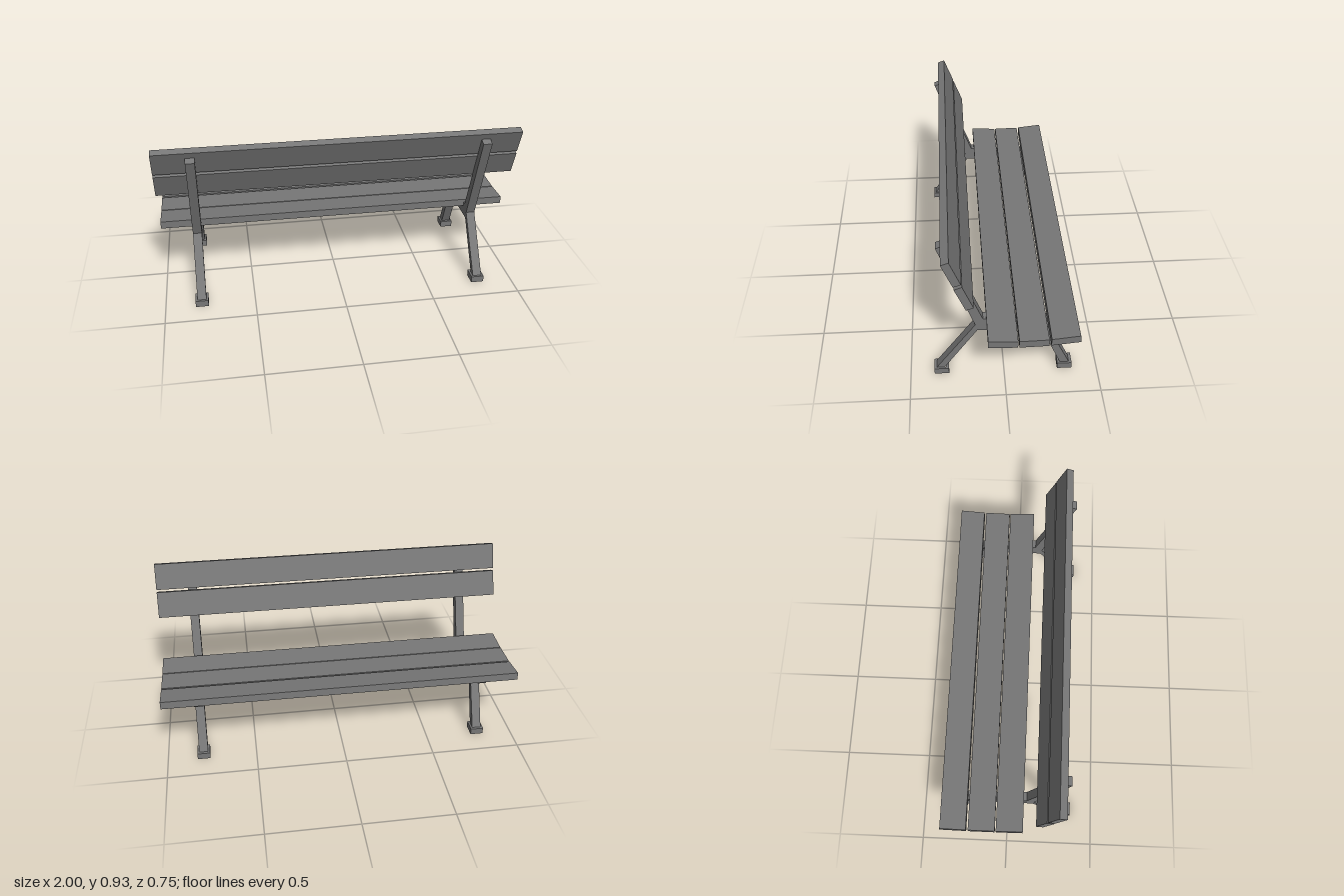
import * as THREE from 'three';

// Extrude a side outline, given as [z, y] points, along x around a centre
function sideProfile(points, width, centreX, material, name) {
  const shape = new THREE.Shape(points.map(([z, y]) => new THREE.Vector2(-z, y)));
  const geometry = new THREE.ExtrudeGeometry(shape, { depth: width, bevelEnabled: false });
  geometry.translate(0, 0, -width / 2);
  geometry.rotateY(Math.PI / 2);
  geometry.translate(centreX, 0, 0);
  const mesh = new THREE.Mesh(geometry, material);
  mesh.name = name;
  return mesh;
}

// Square foot with a socket open underneath
function foot(x, z, material, name) {
  const shape = new THREE.Shape();
  shape.moveTo(-0.036, -0.039).lineTo(0.036, -0.039).lineTo(0.036, 0.039).lineTo(-0.036, 0.039).closePath();
  const hole = new THREE.Path();
  hole.moveTo(-0.025, -0.022).lineTo(-0.025, 0.022).lineTo(0.025, 0.022).lineTo(0.025, -0.022).closePath();
  shape.holes.push(hole);
  const geometry = new THREE.ExtrudeGeometry(shape, { depth: 0.037, bevelEnabled: false });
  geometry.rotateX(-Math.PI / 2);
  const mesh = new THREE.Mesh(geometry, material);
  mesh.position.set(x, 0, z);
  mesh.name = name;
  return mesh;
}

export function createModel() {
  const bench = new THREE.Group();
  bench.name = 'bench';
  const grey = new THREE.MeshStandardMaterial({ color: 0x777777 });
  grey.name = 'grey';

  // One-piece side frame: backrest post, seat bearer and two splayed legs
  const frame = [
    [0.333, 0.865], [0.15, 0.345], [0.361, 0.036], [0.318, 0.036],
    [0.14, 0.306], [-0.19, 0.306], [-0.302, 0.036], [-0.35, 0.036],
    [-0.21, 0.347], [-0.352, 0.355], [-0.355, 0.373], [-0.222, 0.358],
    [-0.212, 0.356], [-0.06, 0.354], [0.093, 0.361], [0.093, 0.384],
    [0.11, 0.385], [0.297, 0.88],
  ];
  for (const side of [1, -1]) {
    const label = side > 0 ? 'left' : 'right';
    const x = side * 0.798;
    bench.add(sideProfile(frame, 0.05, x, grey, label + 'Frame'));
    bench.add(foot(x, 0.334, grey, label + 'BackrestFoot'));
    bench.add(foot(x, -0.326, grey, label + 'SeatFoot'));
  }

  // Seat slats, following the gentle dip of the seat
  const seatSlats = [
    [[0.093, 0.403], [0.093, 0.361], [-0.056, 0.353], [-0.057, 0.395]],
    [[-0.063, 0.395], [-0.063, 0.353], [-0.212, 0.356], [-0.212, 0.398]],
    [[-0.224, 0.4], [-0.222, 0.358], [-0.372, 0.374], [-0.368, 0.416]],
  ];
  seatSlats.forEach((p, i) => bench.add(sideProfile(p, 2, 0, grey, 'seatSlat' + (i + 1))));

  // Two leaning backrest slats
  const backSlats = [
    [[0.213, 0.775], [0.252, 0.76], [0.198, 0.625], [0.16, 0.638]],
    [[0.27, 0.927], [0.309, 0.913], [0.255, 0.776], [0.217, 0.79]],
  ];
  backSlats.forEach((p, i) => bench.add(sideProfile(p, 2, 0, grey, 'backrestSlat' + (i + 1))));

  return bench;
}
